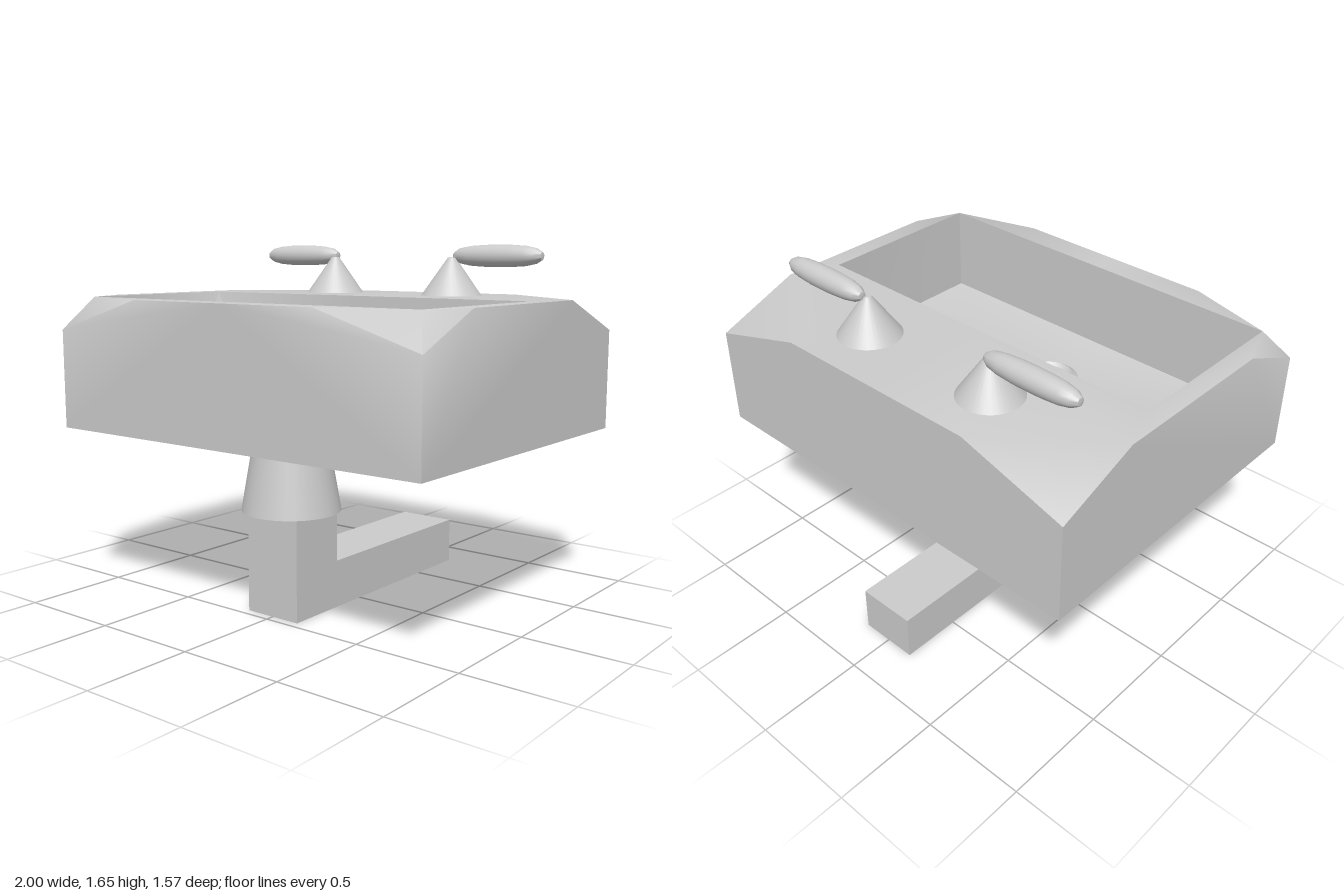
import * as THREE from 'three';
import { toCreasedNormals } from 'three/addons/utils/BufferGeometryUtils.js';

const material = new THREE.MeshStandardMaterial({ color: 0xcccccc });

function part(parent, name, geometry, x = 0, y = 0, z = 0) {
  const mesh = new THREE.Mesh(geometry, material);
  mesh.name = name;
  mesh.position.set(x, y, z);
  parent.add(mesh);
  return mesh;
}

const lathe = (points, sides) => toCreasedNormals(
  new THREE.LatheGeometry(points.map(([r, y]) => new THREE.Vector2(r, y)), sides), 0.7);

// Fans each polygon into triangles and mirrors it across x = 0
function mirroredGeometry(polygons) {
  const out = [];
  for (const p of polygons) {
    for (let i = 1; i < p.length - 1; i++) {
      const tri = [p[0], p[i], p[i + 1]];
      for (const v of tri) out.push(...v);
      for (const v of tri.reverse()) out.push(-v[0], v[1], v[2]);
    }
  }
  const geometry = new THREE.BufferGeometry();
  geometry.setAttribute('position', new THREE.Float32BufferAttribute(out, 3));
  return toCreasedNormals(geometry, 1.0);
}

function basinGeometry() {
  const T = 1.41, C = 1.26, B = 0.8, G = 1.0;   // top, cut corner, underside, bowl floor
  const F = 0.78, K = -0.77, RF = 0.66, RK = -0.16; // outer and rim front/back
  // Outer top edge
  const sideFront = [1, T, 0.44], sideBack = [1, T, -0.38];
  const backEnd = [0.5, T, K], backMid = [0, T, K];
  const frontEnd = [0.5, T, F], frontMid = [0, T, F];
  const cutFront = [1, C, F], cutBack = [1, C, K];
  // Underside
  const lowFront = [1, B, F], lowBack = [1, B, K], lowFrontMid = [0, B, F], lowBackMid = [0, B, K];
  // Rim of the bowl
  const rimFront = [0.91, T, RF], rimBack = [0.91, T, RK], rimFrontMid = [0, T, RF], rimBackMid = [0, T, RK];
  // Bowl floor
  const floorFront = [0.91, G, RF], floorFrontMid = [0, G, RF], floorBackMid = [0, G, RK];
  const cornerBack = [0.71, G, RK], cornerSide = [0.91, G, 0.04], low = [0, 0.88, 0.32];
  return mirroredGeometry([
    // Top deck and cut corners
    [rimFrontMid, frontMid, frontEnd, rimFront],
    [rimFront, frontEnd, cutFront],
    [rimFront, cutFront, sideFront],
    [rimBack, rimFront, sideFront, sideBack],
    [rimBackMid, rimBack, sideBack, backEnd, backMid],
    [backEnd, sideBack, cutBack],
    // Outer walls and underside
    [frontMid, lowFrontMid, lowFront, cutFront, frontEnd],
    [lowFront, lowBack, cutBack, sideBack, sideFront, cutFront],
    [lowBack, lowBackMid, backMid, backEnd, cutBack],
    [lowFrontMid, lowBackMid, lowBack, lowFront],
    // Bowl walls
    [rimFront, rimBack, cornerSide, floorFront],
    [rimFrontMid, rimFront, floorFront, floorFrontMid],
    [rimBack, rimBackMid, floorBackMid, cornerBack],
    [rimBack, cornerBack, cornerSide],
    // Sloping floor
    [low, floorFrontMid, floorFront],
    [low, floorFront, cornerSide],
    [low, cornerSide, cornerBack],
    [low, cornerBack, floorBackMid],
  ]);
}

export function createModel() {
  const model = new THREE.Group();
  model.name = 'washbasin';

  part(model, 'basin', basinGeometry());

  // Drain ring with its plug, and the overflow slot on the back wall
  const drain = lathe([[0.145, 0.88], [0.145, 0.935], [0.118, 0.955], [0.103, 0.94], [0, 0.94]], 32);
  part(model, 'drain', drain, 0, 0, 0.32).scale.z = 1.1;
  part(model, 'overflow', new THREE.BoxGeometry(0.16, 0.06, 0.01), 0, 1.27, -0.158);

  // Waste cup and bent square pipe
  part(model, 'wasteCup', new THREE.CylinderGeometry(0.168, 0.226, 0.33, 32), 0, 0.635, 0.325);
  const bend = new THREE.Shape([[0.46, 0], [0.46, 0.48], [0.175, 0.48], [0.175, 0.22], [-0.785, 0.22], [-0.785, 0]]
    .map(([z, y]) => new THREE.Vector2(-z, y)).reverse());
  const pipe = new THREE.ExtrudeGeometry(bend, { depth: 0.285, bevelEnabled: false });
  pipe.translate(0, 0, -0.1425).rotateY(Math.PI / 2);
  part(model, 'wastePipe', pipe);

  // Taps: a cone with a rounded lever pointing outwards
  const lever = lathe([[0, 0], [0.018, 0.004], [0.036, 0.035], [0.046, 0.09], [0.051, 0.17], [0.052, 0.24],
    [0.051, 0.31], [0.046, 0.385], [0.036, 0.435], [0.018, 0.466], [0, 0.47]], 20);
  for (const [name, x, side] of [['rightTap', -0.39, -1], ['leftTap', 0.315, 1]]) {
    const tap = new THREE.Group();
    tap.name = name;
    part(tap, 'tapCone', new THREE.CylinderGeometry(0.018, 0.147, 0.185, 32), x, 1.4975, -0.49);
    part(tap, 'tapLever', lever, x - side * 0.002, 1.597, -0.515).rotation.z = -side * Math.PI / 2;
    model.add(tap);
  }
  return model;
}
